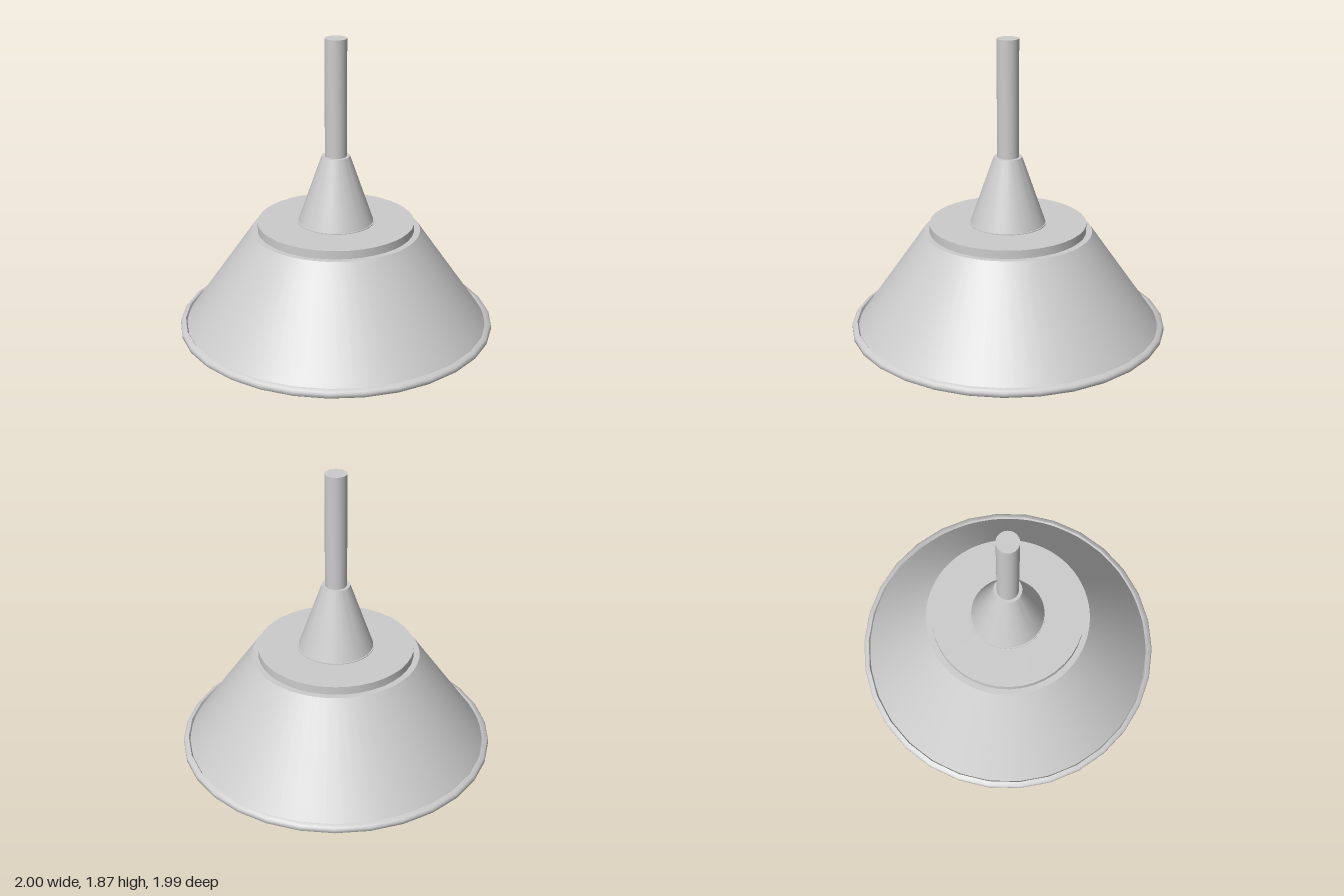
import * as THREE from 'three';
import { toCreasedNormals } from 'three/addons/utils/BufferGeometryUtils.js';

const material = new THREE.MeshStandardMaterial({ color: 0xcccccc });
const openMaterial = new THREE.MeshStandardMaterial({ color: 0xcccccc, side: THREE.DoubleSide });

// Revolve a [radius, height] profile, running bottom to top along the outside
function turned(name, profile, segments, mat = material) {
  const points = profile.map(([r, y]) => new THREE.Vector2(r, y));
  const lathe = new THREE.LatheGeometry(points, segments, Math.PI / 2);
  const mesh = new THREE.Mesh(toCreasedNormals(lathe, 0.95), mat);
  mesh.name = name;
  return mesh;
}

export function createModel() {
  const lamp = new THREE.Group();
  lamp.name = 'pendantLamp';

  // Conical shade with a flat shoulder
  lamp.add(turned('shade', [[0.965, 0.025], [0.53, 0.65], [0.45, 0.65]], 64, openMaterial));

  // Inner reflector, narrowing more than the shade, with a flat ceiling
  lamp.add(turned('reflector', [[0, 0.6], [0.39, 0.6], [0.948, 0.012]], 32, openMaterial));

  // Coarse rolled rim around the opening
  lamp.add(turned('rim', [
    [0.948, 0.012], [0.955, 0], [0.985, 0], [1, 0.012], [1, 0.032],
    [0.992, 0.043], [0.967, 0.052], [0.957, 0.035], [0.948, 0.012],
  ], 30));

  // Flat cap
  lamp.add(turned('cap', [[0, 0.645], [0.493, 0.645], [0.493, 0.703], [0, 0.703]], 40));

  // Thin collar where the neck meets the cap
  lamp.add(turned('collar', [[0.243, 0.7], [0.243, 0.708], [0.23, 0.708]], 48));

  // Tapered neck
  lamp.add(turned('neck', [[0, 0.7], [0.238, 0.7], [0.088, 1.132], [0, 1.132]], 64));

  // Hanging rod
  lamp.add(turned('rod', [[0, 1.12], [0.068, 1.12], [0.068, 1.87], [0, 1.87]], 32));

  return lamp;
}
